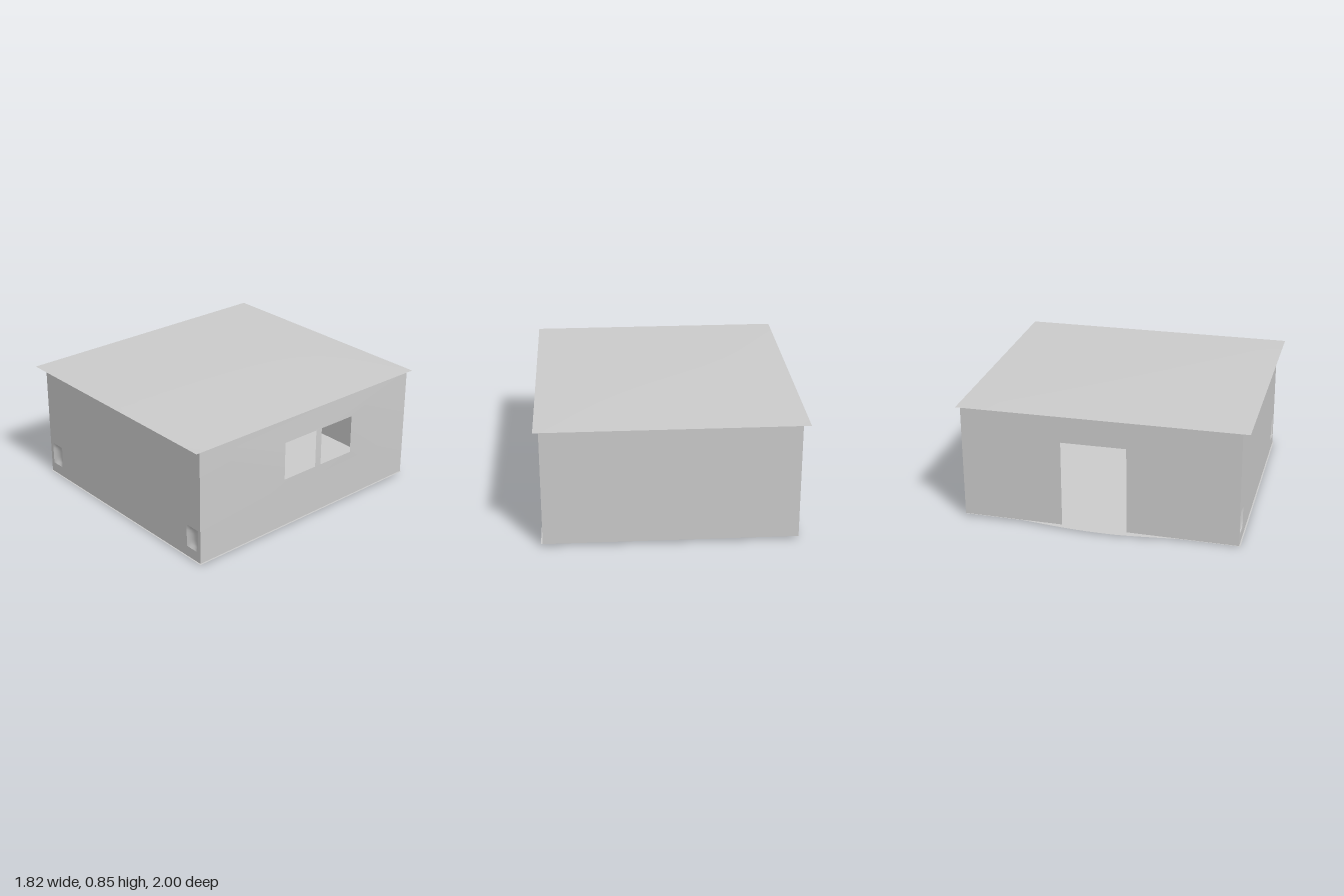
import * as THREE from 'three';

const material = new THREE.MeshStandardMaterial({ color: 0xcccccc, side: THREE.DoubleSide });

const LEFT = 0.87, RIGHT = -0.857, FRONT = 0.945, BACK = -0.985, TOP = 0.839;

// The floor rises slightly towards the back.
const floorY = (z) => 0.01 - 0.0097 * z;

const rectPath = (Type, u0, u1, v0, v1) =>
  new Type([[u0, v0], [u1, v0], [u1, v1], [u0, v1]].map(([u, v]) => new THREE.Vector2(u, v)));

// Places every flat point (u, v, w) in space by a rule.
function placed(name, geometry, rule) {
  const p = geometry.attributes.position;
  for (let i = 0; i < p.count; i++) p.setXYZ(i, ...rule(p.getX(i), p.getY(i), p.getZ(i)));
  geometry.computeVertexNormals();
  const mesh = new THREE.Mesh(geometry, material);
  mesh.name = name;
  return mesh;
}

// Thin wall panel with rectangular openings.
function wall(name, u0, u1, holes, rule) {
  const shape = rectPath(THREE.Shape, u0, u1, 0, TOP);
  holes.forEach((h) => shape.holes.push(rectPath(THREE.Path, ...h)));
  return placed(name, new THREE.ShapeGeometry(shape), rule);
}

export function createModel() {
  const model = new THREE.Group();

  // Front wall with two small recesses near the floor
  const recesses = [[-0.83, -0.713, 0.075, 0.238], [0.73, 0.845, 0.075, 0.238]];
  model.add(wall('frontWall', RIGHT, LEFT, recesses,
    (u, v) => [u, Math.max(v, floorY(FRONT)), FRONT]));
  recesses.forEach(([u0, u1, v0, v1], i) => {
    const w = u1 - u0, h = v1 - v0;
    const patch = new THREE.PlaneGeometry(w, h, 8, 8);
    model.add(placed(i ? 'leftRecess' : 'rightRecess', patch, (u, v) => {
      const a = 1 - (2 * u / w) ** 2, b = 1 - (2 * v / h) ** 4;
      return [(u0 + u1) / 2 + u, (v0 + v1) / 2 + v, FRONT - 0.022 * a * b];
    }));
  });

  // Plain back wall
  model.add(wall('backWall', -LEFT, -RIGHT, [],
    (u, v) => [-u, Math.max(v, floorY(BACK)), BACK]));

  // Window wall, pushed out slightly around the two openings
  model.add(wall('windowWall', -FRONT, -BACK,
    [[-0.21, 0.078, 0.372, 0.65], [0.13, 0.42, 0.372, 0.65]],
    (u, v) => [LEFT + (v > 0.3 && v < 0.7 ? 0.01 : 0), Math.max(v, floorY(-u)), -u]));

  // Door wall: an outline with the doorway cut up from the floor
  const doorWall = new THREE.Shape([
    [BACK, 0], [-0.285, 0], [-0.285, 0.632], [0.17, 0.632],
    [0.17, 0], [FRONT, 0], [FRONT, TOP], [BACK, TOP],
  ].map(([u, v]) => new THREE.Vector2(u, v)));
  model.add(placed('doorWall', new THREE.ShapeGeometry(doorWall),
    (u, v) => [RIGHT, Math.max(v, floorY(u)), u]));

  // Floor with a curved doorstep bulging out of the doorway
  const floor = new THREE.Shape();
  floor.moveTo(-0.862, 0.985);
  floor.lineTo(-0.862, 0.57);
  floor.splineThru([[-0.897, 0.28], [-0.911, 0.05], [-0.905, -0.17], [-0.862, -0.53]]
    .map(([x, y]) => new THREE.Vector2(x, y)));
  floor.lineTo(-0.862, -0.955);
  floor.lineTo(0.882, -0.955);
  floor.lineTo(0.882, 0.985);
  model.add(placed('floor', new THREE.ShapeGeometry(floor, 4), (u, v) => [u, floorY(-v), -v]));

  // Overhanging roof with a very slight crown
  model.add(placed('roof', new THREE.PlaneGeometry(1.814, 2, 12, 12), (u, v) =>
    [u, 0.841 + 0.008 * (1 - (u / 0.907) ** 2) * (1 - v * v), -v]));

  return model;
}
